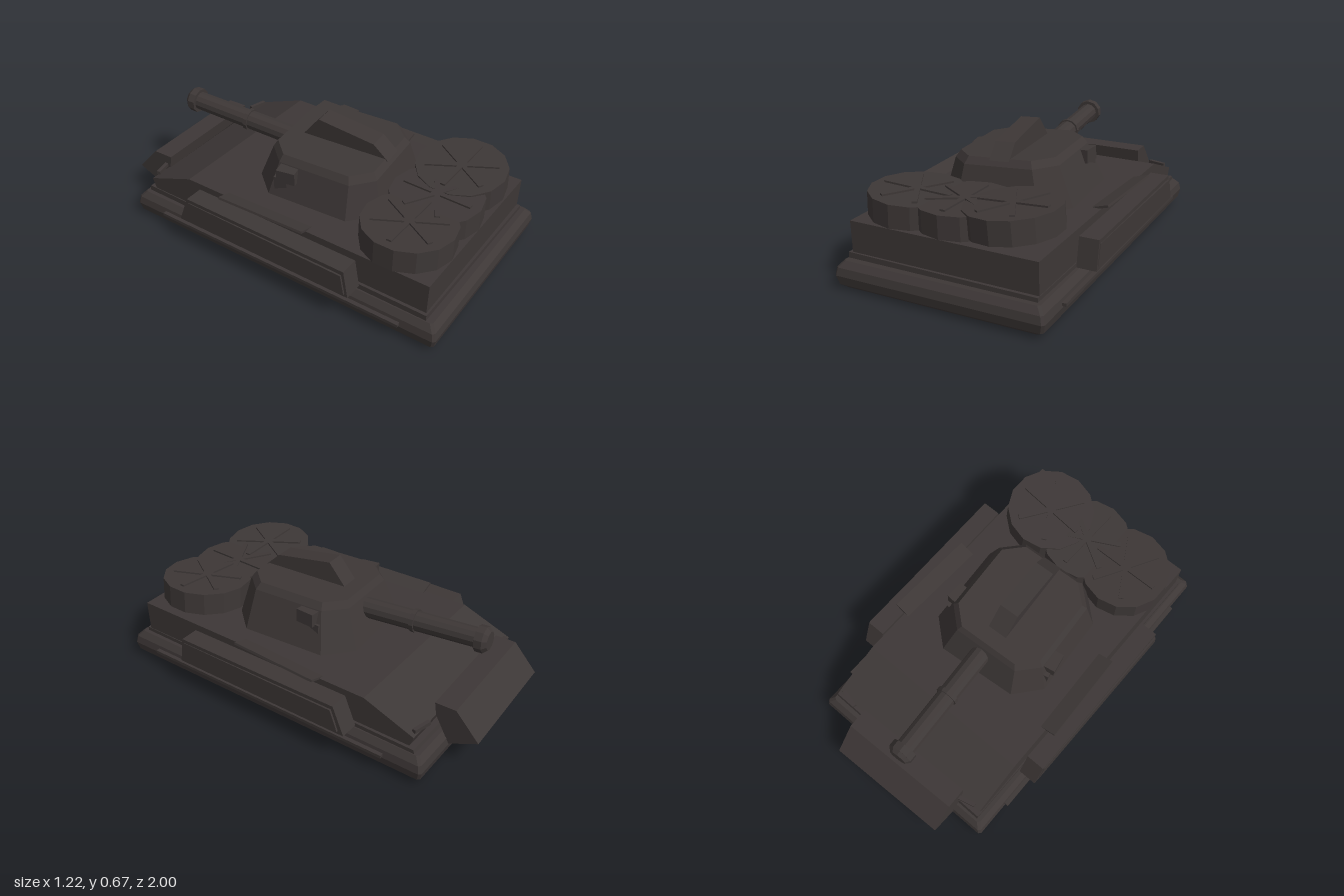
import * as THREE from 'three';

const armour = new THREE.MeshStandardMaterial({ color: 0x3d3736, flatShading: true });
armour.name = 'dark brown armour';

function part(name, geometry, parent, x = 0, y = 0, z = 0, rx = 0, ry = 0, rz = 0) {
  const mesh = new THREE.Mesh(geometry, armour);
  mesh.name = name;
  mesh.position.set(x, y, z);
  mesh.rotation.set(rx, ry, rz);
  parent.add(mesh);
  return mesh;
}

function group(name, parent, x = 0, y = 0, z = 0, rx = 0, ry = 0, rz = 0) {
  const g = new THREE.Group();
  g.name = name;
  g.position.set(x, y, z);
  g.rotation.set(rx, ry, rz);
  parent.add(g);
  return g;
}

// Rectangle with cut corners at height y
function ring(x0, x1, z0, z1, c, y) {
  return [[x1, z0 + c], [x1, z1 - c], [x1 - c, z1], [x0 + c, z1],
    [x0, z1 - c], [x0, z0 + c], [x0 + c, z0], [x1 - c, z0]].map(([x, z]) => [x, y, z]);
}

// Closed faceted solid through rings stacked upwards
function loft(rings) {
  const pos = [];
  const tri = (a, b, c) => pos.push(...a, ...b, ...c);
  const n = rings[0].length;
  for (let r = 0; r < rings.length - 1; r++) {
    const lo = rings[r], hi = rings[r + 1];
    for (let i = 0; i < n; i++) {
      const j = (i + 1) % n;
      tri(lo[i], hi[i], lo[j]);
      tri(lo[j], hi[i], hi[j]);
    }
  }
  const bottom = rings[0], top = rings[rings.length - 1];
  for (let i = 1; i < n - 1; i++) {
    tri(bottom[0], bottom[i], bottom[i + 1]);
    tri(top[0], top[i + 1], top[i]);
  }
  const g = new THREE.BufferGeometry();
  g.setAttribute('position', new THREE.Float32BufferAttribute(pos, 3));
  g.computeVertexNormals();
  return g;
}

// Side profile of [z, y] points extruded across x
function prism(points, width) {
  const shape = new THREE.Shape(points.map(([z, y]) => new THREE.Vector2(z, y)));
  const g = new THREE.ExtrudeGeometry(shape, { depth: width, bevelEnabled: false });
  return g.rotateY(-Math.PI / 2).translate(width / 2, 0, 0);
}

// Cylinder lying along z
function rod(r0, r1, length, sides) {
  return new THREE.CylinderGeometry(r0, r1, length, sides).rotateX(-Math.PI / 2);
}

const box = (w, h, d) => new THREE.BoxGeometry(w, h, d);

export function createModel() {
  const model = new THREE.Group();
  model.name = 'tank';

  // Bevelled lower deck with side rails
  const base = group('lowerDeck', model, 0, 0.465, 0.08, 0, 0.01, 0.008);
  part('deckSlab', loft([
    [-0.07, 0.04], [-0.045, 0.01], [0, 0], [0.04, 0.008], [0.07, 0.035],
  ].map(([y, i]) => ring(-0.548 + i, 0.548 - i, -0.92 + i, 0.92 - i, 0.012, y))), base);
  for (const s of [-1, 1]) part('sideRail', box(0.03, 0.016, 1.45), base, s * 0.55, 0.015, 0.01);

  // Hull with sloped end
  part('hull', prism([[0.92, 0.52], [-0.73, 0.52], [-0.765, 0.615], [-0.49, 0.72], [0.925, 0.72]], 0.98), model,
    0, 0, 0, 0, 0.008, 0);
  part('hullLip', prism([[0.935, 0.52], [-0.79, 0.52], [-0.78, 0.56], [0.935, 0.56]], 1.0), model);

  // Side skirts and the loose plates above them
  for (const s of [-1, 1]) {
    part('sideSkirt', prism([[0.575, 0.55], [-0.46, 0.55], [-0.4, 0.7], [0.55, 0.695]], 0.1), model, s * 0.555, 0, 0,
      0, 0.008, 0);
    part('skirtFace', prism([[0.56, 0.57], [-0.43, 0.57], [-0.39, 0.68], [0.54, 0.675]], 0.01), model, s * 0.607, 0, 0);
    part('skirtPlate', box(0.09, 0.012, 0.5), model, s * 0.495, 0.727, 0.01, 0, s * -0.04, s * 0.3);
    part('towHook', box(0.1, 0.02, 0.02), model, s * 0.41, 0.63, -0.765, 0, s * -0.25, 0);
  }

  // Wedge-shaped blade at the sloped end
  part('blade', prism([[-0.75, 0.69], [-0.76, 0.62], [-0.835, 0.48], [-0.985, 0.55], [-0.86, 0.69]], 0.66), model,
    -0.015, 0, 0, 0, 0.035, 0);
  part('bladeMount', box(0.4, 0.06, 0.08), model, -0.01, 0.58, -0.77);

  // Turret
  const turret = group('turret', model, 0, 0.735, 0.11, 0, 0.075, 0.05);
  part('turretBody', loft([
    ring(-0.345, 0.355, -0.35, 0.365, 0.13, -0.03),
    ring(-0.275, 0.285, -0.275, 0.32, 0.1, 0.175),
    ring(-0.25, 0.26, -0.255, 0.295, 0.09, 0.21),
  ]), turret);
  part('roofFin', prism([[0.31, 0.2], [-0.18, 0.2], [-0.08, 0.32], [0.23, 0.275]], 0.105), turret, 0.01);

  // Gun
  const gun = group('gun', turret, 0.025, 0.108, -0.25, 0.05);
  part('barrel', rod(0.05, 0.053, 0.68, 12), gun, 0, 0, -0.32);
  part('barrelBand', rod(0.06, 0.06, 0.022, 12), gun, 0, 0, -0.315);
  part('muzzle', rod(0.068, 0.068, 0.04, 10), gun, 0, 0, -0.67);
  part('muzzleTip', rod(0.048, 0.068, 0.022, 10), gun, 0, 0, -0.7);

  // Small lamps on the turret cheeks
  for (const s of [-1, 1]) {
    const lamp = group('turretLamp', turret, s * 0.3, 0.135, -0.12, 0, s * -0.12, 0);
    part('lampBox', box(0.065, 0.07, 0.1), lamp, 0, 0, 0.01);
    part('lampBracket', box(0.05, 0.09, 0.07), lamp, s * -0.01, -0.07, -0.03);
  }

  // Three drums with crossed bars, each sitting at its own tilt
  const drums = [[-0.265, 0.778, -0.03, 0], [0, 0.776, 0.015, 0.5], [0.255, 0.8, 0.085, 1]];
  for (const [x, y, tilt, turn] of drums) {
    const drum = group('drum', model, x, y, 0.69, 0, 0, tilt);
    part('drumBody', new THREE.CylinderGeometry(0.235, 0.235, 0.118, 14), drum);
    for (let k = 0; k < 3; k++) {
      part('drumBar', box(0.37, 0.012, 0.026), drum, 0, 0.062, 0.0, 0, turn + k * Math.PI / 3, 0);
    }
  }
  return model;
}
